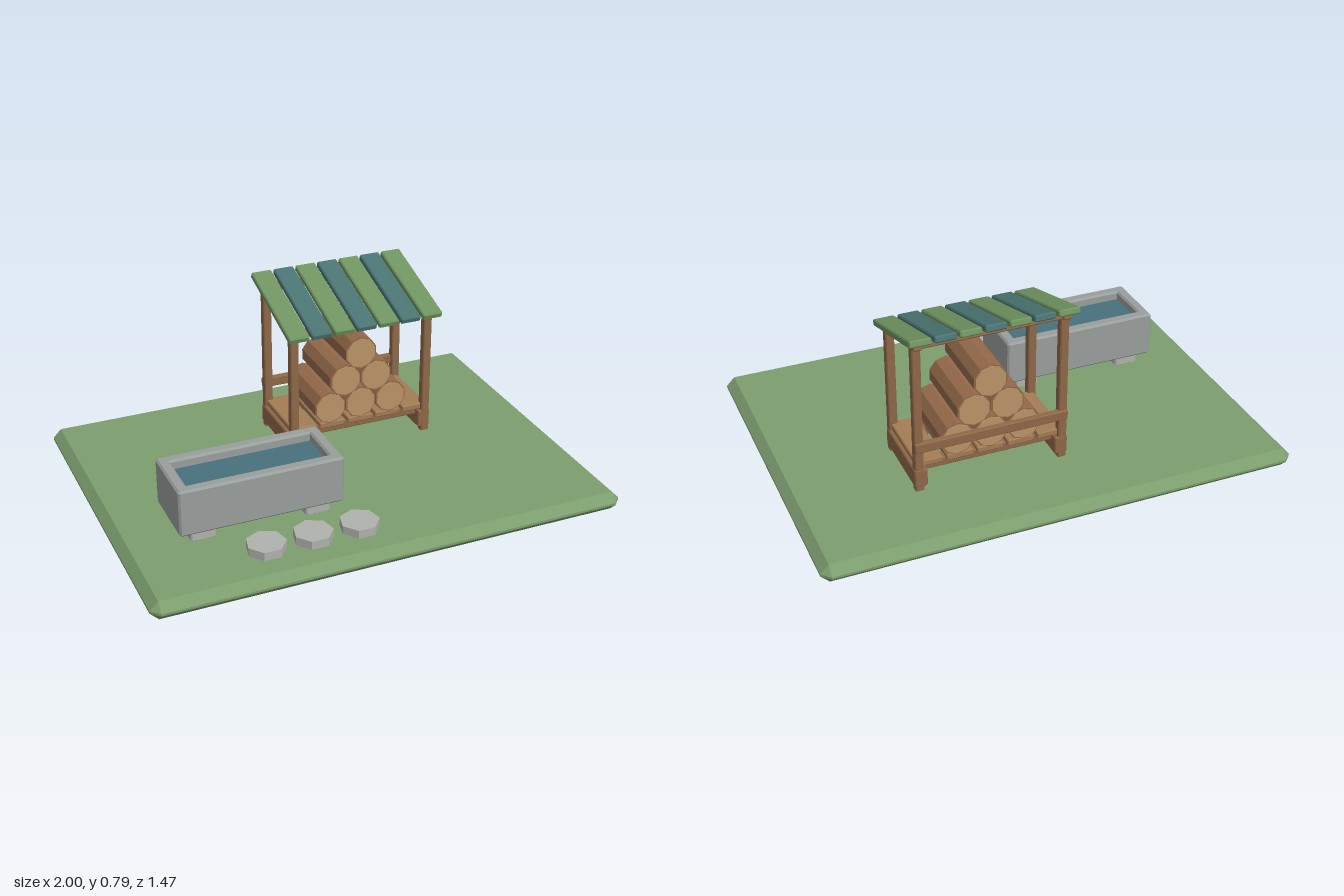
import * as THREE from 'three';
import { ConvexGeometry } from 'three/addons/geometries/ConvexGeometry.js';

const mat = (color) => new THREE.MeshStandardMaterial({ color, flatShading: true });
const grass = mat(0x7c9e6e), wood = mat(0x8f6848), bark = mat(0x94694a), cutWood = mat(0xba9468);
const plank = mat(0xa37c55), roofGreen = mat(0x6f9460), roofTeal = mat(0x4a7472);
const stone = mat(0x999f9d), paleStone = mat(0xb0b2ac), water = mat(0x48707d);

// Box with every edge and corner chamfered by c
function chamferBox(w, h, d, c) {
  const x = w / 2, y = h / 2, z = d / 2, pts = [];
  for (const sx of [-1, 1]) for (const sy of [-1, 1]) for (const sz of [-1, 1]) {
    pts.push(new THREE.Vector3(sx * x, sy * (y - c), sz * (z - c)));
    pts.push(new THREE.Vector3(sx * (x - c), sy * y, sz * (z - c)));
    pts.push(new THREE.Vector3(sx * (x - c), sy * (y - c), sz * z));
  }
  return new ConvexGeometry(pts);
}

function add(parent, name, geometry, material, x, y, z) {
  const mesh = new THREE.Mesh(geometry, material);
  mesh.name = name;
  mesh.position.set(x, y, z);
  parent.add(mesh);
  return mesh;
}

// Chamfered box given by its extents: x0..x1, y0..y1, z0..z1
function block(parent, name, material, [x0, x1], [y0, y1], [z0, z1], c = 0.004) {
  return add(parent, name, chamferBox(x1 - x0, y1 - y0, z1 - z0, c), material,
    (x0 + x1) / 2, (y0 + y1) / 2, (z0 + z1) / 2);
}

// Rectangle outline with small cut corners
function rectangle(target, w, d, c) {
  const x = w / 2, z = d / 2;
  target.setFromPoints([
    [x - c, -z], [x, -z + c], [x, z - c], [x - c, z],
    [-x + c, z], [-x, z - c], [-x, -z + c], [-x + c, -z],
  ].map(([a, b]) => new THREE.Vector2(a, b)));
  target.closePath();
  return target;
}

// Stone water trough on two feet
function createTrough() {
  const trough = new THREE.Group();
  trough.name = 'trough';
  trough.position.set(-0.437, 0, 0.26);
  const outline = rectangle(new THREE.Shape(), 0.685, 0.288, 0.008);
  outline.holes.push(rectangle(new THREE.Path(), 0.59, 0.193, 0.001));
  const walls = new THREE.ExtrudeGeometry(outline, {
    depth: 0.184, bevelEnabled: true, bevelThickness: 0.008, bevelSize: 0.008, bevelOffset: -0.008, bevelSegments: 1,
  });
  walls.rotateX(-Math.PI / 2);
  add(trough, 'troughWalls', walls, stone, 0, 0.133, 0);
  block(trough, 'troughFloor', stone, [-0.31, 0.31], [0.127, 0.165], [-0.11, 0.11]);
  block(trough, 'water', water, [-0.3, 0.3], [0.16, 0.287], [-0.1, 0.1]);
  for (const s of [-1, 1]) {
    block(trough, 'troughFoot', paleStone, [s * 0.24 - 0.052, s * 0.24 + 0.052], [0.075, 0.13], [-0.118, 0.118], 0.006);
  }
  return trough;
}

// Pitched roof of alternating slats on a tilted frame
function createRoof() {
  const roof = new THREE.Group();
  roof.name = 'roof';
  roof.position.set(0.194, 0.71, -0.236);
  roof.rotation.x = 0.293;
  for (let i = -3; i <= 3; i++) {
    add(roof, 'roofSlat', chamferBox(0.089, 0.028, 0.45, 0.005), i % 2 ? roofGreen : roofTeal, i * 0.1005, 0, 0);
  }
  for (const s of [-1, 1]) {
    add(roof, 'rafter', chamferBox(0.035, 0.024, 0.385, 0.004), wood, s * 0.305, -0.025, 0);
    add(roof, 'purlin', chamferBox(0.645, 0.024, 0.035, 0.004), wood, 0, -0.024, s * 0.158);
  }
  return roof;
}

// Log with a pale cut face at each end
function createLog(x, y) {
  const log = new THREE.Group();
  log.name = 'log';
  log.position.set(x, y, -0.236);
  const body = new THREE.CylinderGeometry(0.0725, 0.0725, 0.31, 10).rotateX(Math.PI / 2);
  const face = new THREE.CylinderGeometry(0.066, 0.066, 0.318, 10).rotateX(Math.PI / 2);
  add(log, 'bark', body, bark, 0, 0, 0);
  add(log, 'cutFaces', face, cutWood, 0, 0, 0);
  return log;
}

function createShelter() {
  const shelter = new THREE.Group();
  shelter.name = 'woodShelter';
  // Posts and the skids joining them front to back
  for (const x of [-0.111, 0.499]) {
    block(shelter, 'frontPost', wood, [x - 0.018, x + 0.018], [0.075, 0.637], [-0.102, -0.067]);
    block(shelter, 'backPost', wood, [x - 0.018, x + 0.018], [0.075, 0.73], [-0.405, -0.37]);
  }
  block(shelter, 'leftSkid', wood, [0.466, 0.52], [0.098, 0.178], [-0.407, -0.068], 0.005);
  block(shelter, 'rightSkid', wood, [-0.132, -0.078], [0.098, 0.178], [-0.407, -0.068], 0.005);
  // Floor
  block(shelter, 'frontBearer', wood, [-0.11, 0.498], [0.15, 0.19], [-0.145, -0.1]);
  block(shelter, 'backBearer', wood, [-0.11, 0.498], [0.15, 0.19], [-0.372, -0.327]);
  for (let i = -2; i <= 2; i++) {
    const x = 0.194 + i * 0.129;
    block(shelter, 'floorPlank', plank, [x - 0.056, x + 0.056], [0.181, 0.208], [-0.39, -0.082]);
  }
  block(shelter, 'backRail', wood, [-0.129, 0.517], [0.261, 0.304], [-0.415, -0.388]);
  // Pyramid of logs
  for (let row = 0; row < 3; row++) {
    for (let i = 0; i < 3 - row; i++) {
      shelter.add(createLog(0.194 + (i - (2 - row) / 2) * 0.14, 0.275 + row * 0.116));
    }
  }
  shelter.add(createRoof());
  return shelter;
}

export function createModel() {
  const model = new THREE.Group();
  model.name = 'woodShelterYard';
  block(model, 'ground', grass, [-1, 1], [0, 0.08], [-0.737, 0.737], 0.035);
  model.add(createTrough(), createShelter());
  // Seven-sided stepping stones
  for (const x of [-0.482, -0.287, -0.091]) {
    const step = add(model, 'steppingStone', new THREE.CylinderGeometry(0.081, 0.081, 0.04, 7), paleStone, x, 0.096, 0.541);
    step.rotation.y = Math.PI;
  }
  return model;
}
